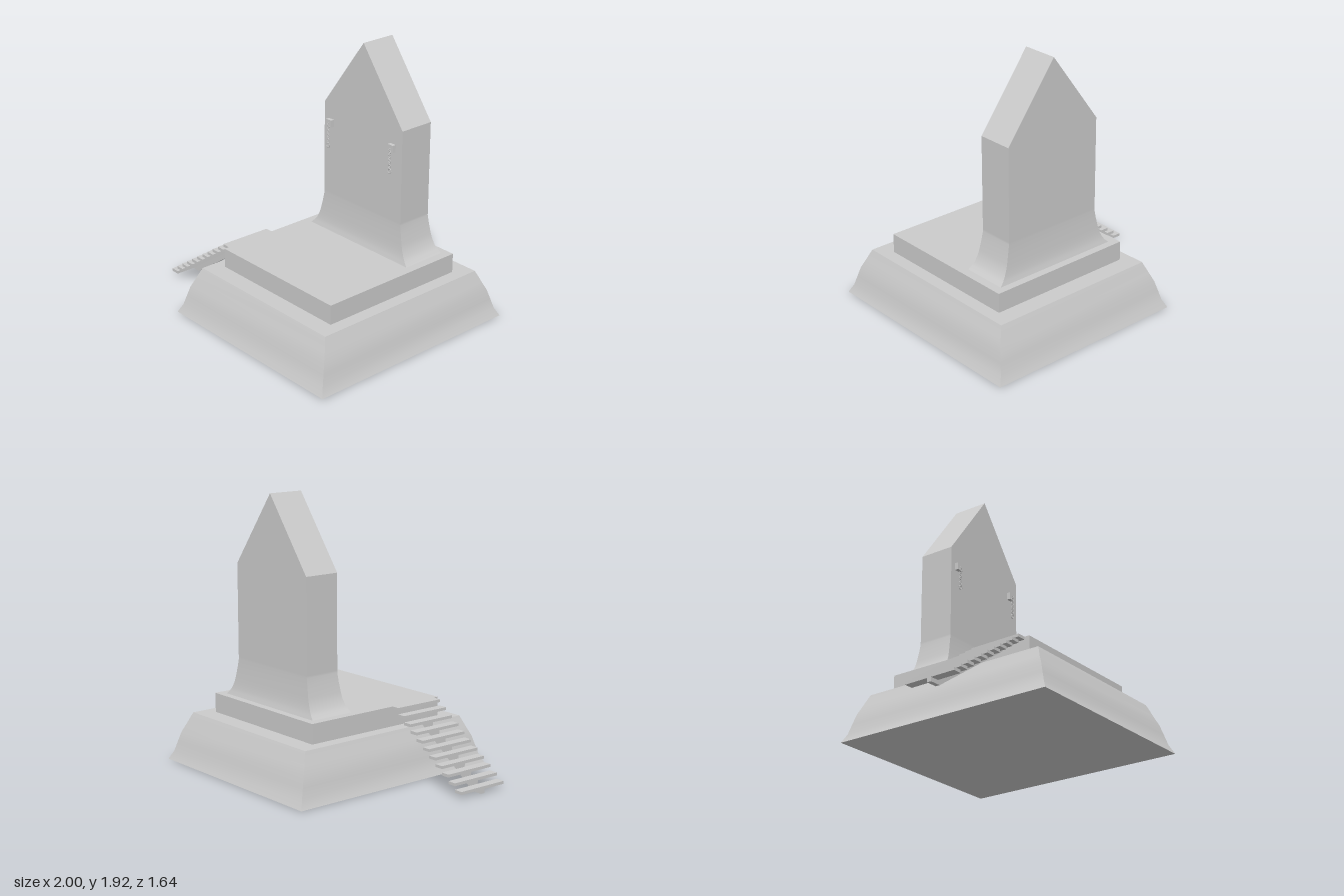
import * as THREE from 'three';

const material = new THREE.MeshStandardMaterial({ color: 0xcccccc });
const CX = 0.238; // centre line of the monument

function add(parent, name, geometry, x = 0, y = 0, z = 0) {
  const mesh = new THREE.Mesh(geometry, material);
  mesh.name = name;
  mesh.position.set(x, y, z);
  parent.add(mesh);
  return mesh;
}

// Rectangular loft, smooth up the profile and sharp at the corners.
// levels: [y, half width, half depth]
function rectLoft(levels) {
  const pos = [], idx = [];
  const corners = [[1, 1], [1, -1], [-1, -1], [-1, 1]];
  const point = ([y, w, d], c) => pos.push(corners[c % 4][0] * w, y, corners[c % 4][1] * d);
  for (let s = 0; s < 4; s++) {
    const first = pos.length / 3;
    levels.forEach((level, i) => {
      point(level, s);
      point(level, s + 1);
      if (i > 0) {
        const a = first + (i - 1) * 2;
        idx.push(a, a + 1, a + 3, a, a + 3, a + 2);
      }
    });
  }
  // end caps
  const b = pos.length / 3;
  for (let c = 0; c < 4; c++) point(levels[0], c);
  for (let c = 0; c < 4; c++) point(levels[levels.length - 1], c);
  idx.push(b, b + 2, b + 1, b, b + 3, b + 2, b + 4, b + 5, b + 6, b + 4, b + 6, b + 7);
  const geometry = new THREE.BufferGeometry();
  geometry.setAttribute('position', new THREE.Float32BufferAttribute(pos, 3));
  geometry.setIndex(idx);
  geometry.computeVertexNormals();
  return geometry;
}

function polygon(points) {
  return new THREE.Shape(points.map(([x, y]) => new THREE.Vector2(x, y)));
}

// Eleven planks on one central saw-toothed stringer
function createStairs() {
  const stairs = new THREE.Group();
  stairs.name = 'stairs';
  const steps = 11, run = 0.0632, rise = 0.0432, thick = 0.02, width = 0.38;
  const top = (i) => 0.048 + i * rise;
  const outline = [[0, 0]];
  for (let i = 0; i < steps; i++) {
    outline.push([i * run, top(i) - thick], [(i + 1) * run, top(i) - thick]);
    add(stairs, 'tread', new THREE.BoxGeometry(run, thick, width), (i + 0.5) * run, top(i) - thick / 2, 0);
  }
  outline.push([steps * run, 0.425], [0.08, 0]);
  add(stairs, 'stringer', new THREE.ExtrudeGeometry(polygon(outline), { depth: 0.03, bevelEnabled: false }), 0, 0, -0.015);
  stairs.position.set(-0.996, 0, 0.317);
  stairs.rotation.y = -0.02;
  return stairs;
}

// Wall plate with hanging links and an end ring
function createChain(x) {
  const chain = new THREE.Group();
  chain.name = 'chain';
  add(chain, 'wallPlate', new THREE.BoxGeometry(0.05, 0.052, 0.027), 0, 1.277, -0.197);
  const link = new THREE.TorusGeometry(0.0095, 0.0025, 6, 14);
  for (let i = 0; i < 9; i++) {
    const ring = add(chain, 'chainLink', link, 0, 1.27 - i * 0.0165, -0.181);
    if (i % 2 === 0) ring.rotation.y = Math.PI / 2;
  }
  add(chain, 'endRing', new THREE.TorusGeometry(0.0155, 0.003, 6, 18), 0, 1.118, -0.181);
  chain.position.x = x;
  return chain;
}

export function createModel() {
  const model = new THREE.Group();
  model.name = 'monument';

  // Sloping plinth and slab
  add(model, 'plinth', rectLoft([
    [0, 0.758, 0.82], [0.06, 0.727, 0.79], [0.13, 0.71, 0.769], [0.2, 0.692, 0.748],
    [0.26, 0.667, 0.72], [0.31, 0.645, 0.7], [0.342, 0.632, 0.685],
  ]), CX + 0.002);
  add(model, 'slab', new THREE.BoxGeometry(1.085, 0.14, 1.115), CX, 0.41, 0);

  // Flared foot and pointed tablet
  add(model, 'tabletFoot', rectLoft([
    [0.478, 0.482, 0.165], [0.505, 0.454, 0.156], [0.53, 0.435, 0.149], [0.57, 0.416, 0.143],
    [0.61, 0.404, 0.139], [0.68, 0.389, 0.133], [0.74, 0.378, 0.13], [0.755, 0.378, 0.13],
  ]), CX, 0, -0.34);
  add(model, 'tablet', new THREE.ExtrudeGeometry(
    polygon([[-0.378, 0.755], [0.378, 0.755], [0.378, 1.414], [0, 1.923], [-0.378, 1.414]]),
    { depth: 0.26, bevelEnabled: false }), CX, 0, -0.47);

  for (const side of [-1, 1]) model.add(createChain(CX - 0.008 + side * 0.302));
  model.add(createStairs());
  return model;
}
